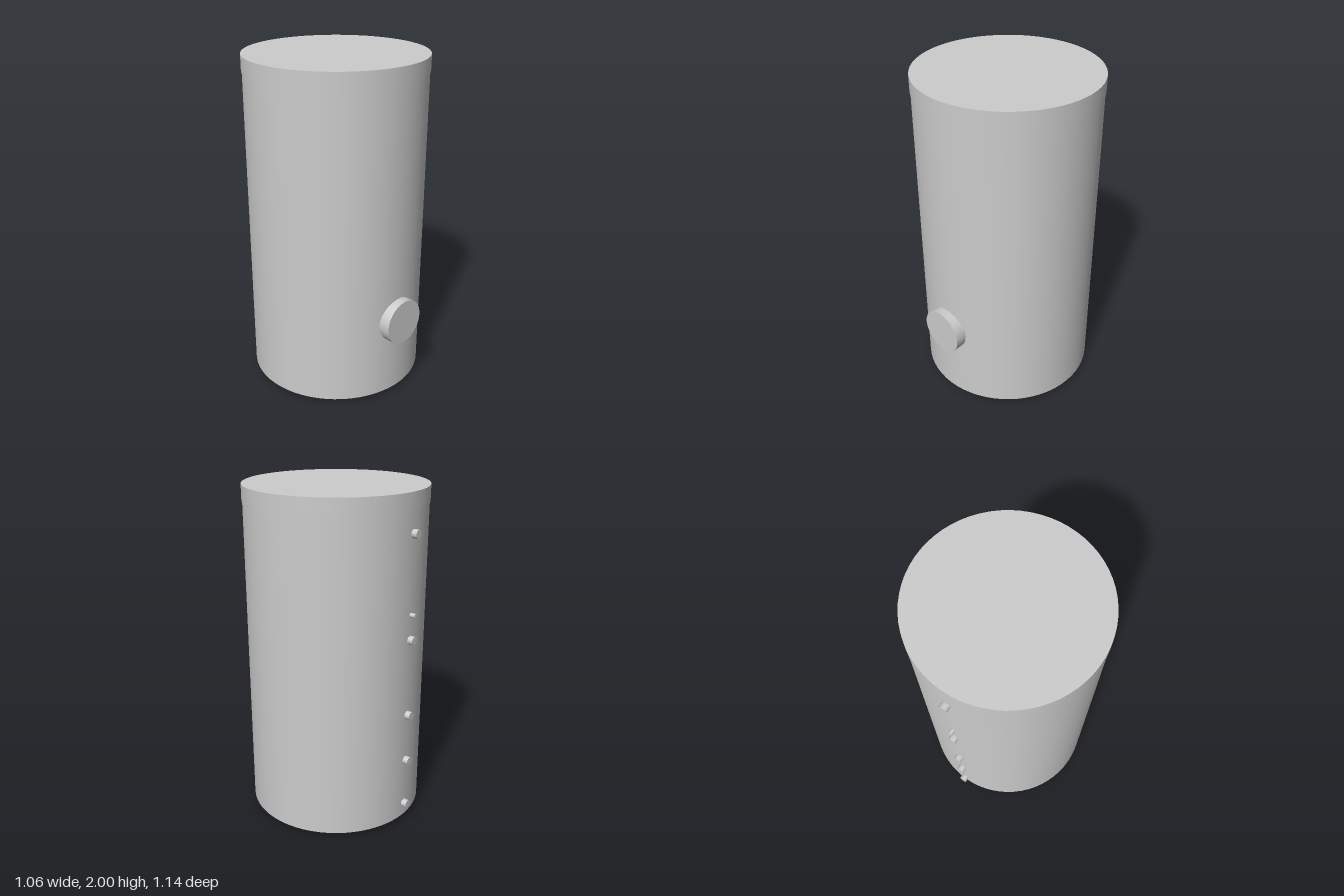
import * as THREE from 'three';

export function createModel() {
  const group = new THREE.Group();
  const grey = new THREE.MeshStandardMaterial({ color: 0xcccccc });
  grey.name = 'light grey';
  const cz = -0.01; // tank axis, offset by the front flange

  // Upright cylinder between two heights
  function upright(name, r, y0, y1, x = 0, z = cz, seg = 64) {
    const m = new THREE.Mesh(new THREE.CylinderGeometry(r, r, y1 - y0, seg), grey);
    m.position.set(x, (y0 + y1) / 2, z);
    m.name = name;
    group.add(m);
  }

  // Cylinder lying along z between two depths
  function lying(name, r, y, z0, z1, seg) {
    const m = new THREE.Mesh(new THREE.CylinderGeometry(r, r, z1 - z0, seg), grey);
    m.rotation.x = Math.PI / 2;
    m.position.set(0, y, (z0 + z1) / 2);
    m.name = name;
    group.add(m);
  }

  // Insulated tank and its slightly wider lid
  upright('tankBody', 0.527, 0.03, 1.905);
  upright('lid', 0.531, 1.905, 2);

  // Round inspection flange at the front
  lying('inspectionFlange', 0.137, 0.5, 0.46, 0.568, 48);

  // Column of pipe connections at the back: [height, radius]
  const ports = [[1.777, 0.025], [1.322, 0.013], [1.175, 0.025],
    [0.709, 0.025], [0.411, 0.025], [0.113, 0.025]];
  ports.forEach(([y, r], i) => lying('pipeConnection' + (i + 1), r, y, -0.568, -0.5, 24));

  // Three adjustable feet, each a disc on a thin stem
  for (let i = 0; i < 3; i++) {
    const a = Math.PI + (i * 2 * Math.PI) / 3;
    const x = 0.35 * Math.cos(a), z = cz + 0.35 * Math.sin(a);
    upright('footPad' + (i + 1), 0.038, 0, 0.012, x, z, 24);
    upright('footStem' + (i + 1), 0.008, 0.012, 0.035, x, z, 12);
  }

  return group;
}
